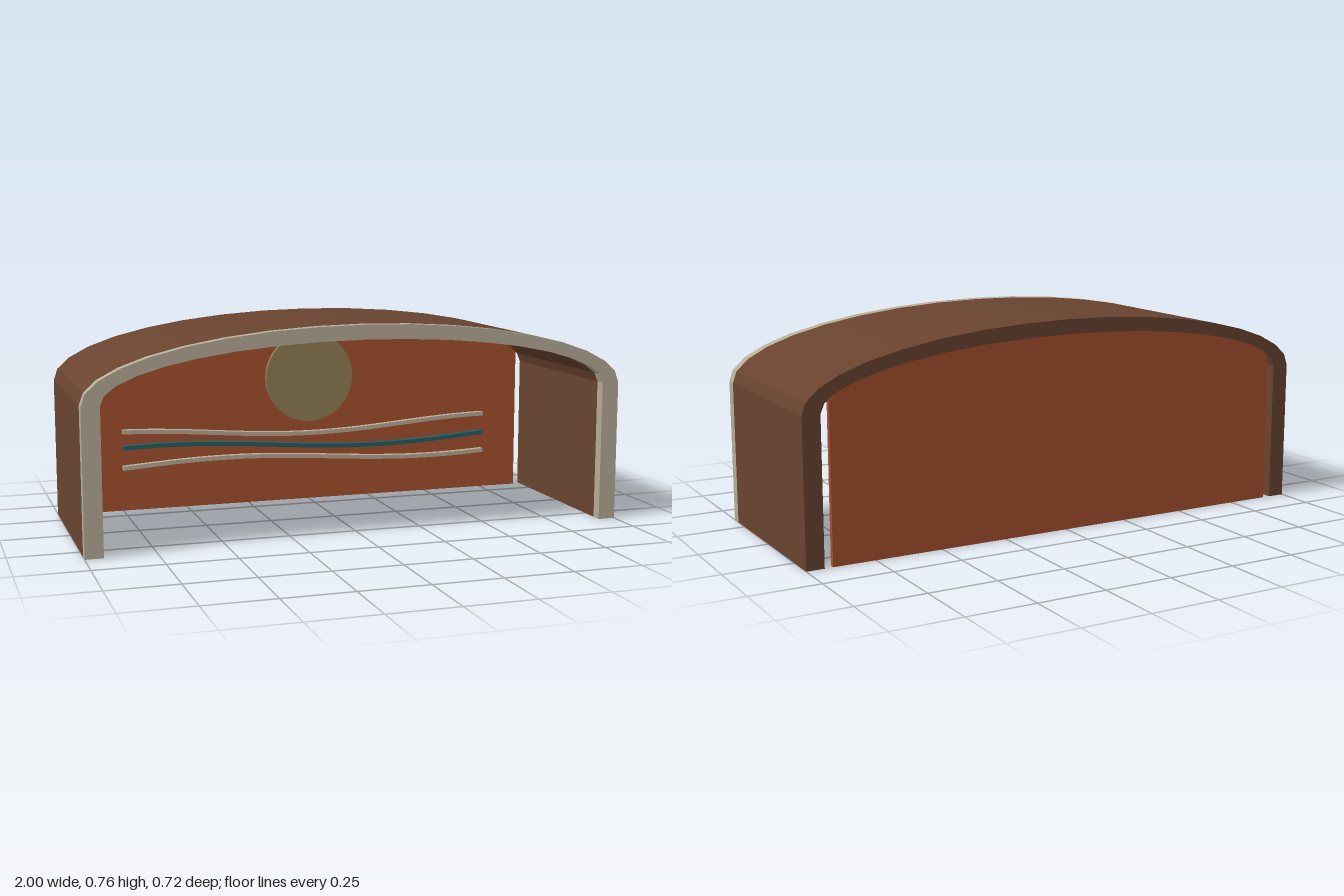
import * as THREE from 'three';

const SPRING = 0.52, SEGMENTS = 18, BACK = -0.358;

const material = (name, color) => {
  const m = new THREE.MeshStandardMaterial({ color });
  m.name = name;
  return m;
};

// Points of a half ellipse above the legs, from +x to -x
function archPoints(rx, ry, from = 0, to = SEGMENTS) {
  const pts = [];
  for (let i = from; i <= to; i++) {
    const a = (i / SEGMENTS) * Math.PI;
    pts.push(new THREE.Vector2(rx * Math.cos(a), SPRING + ry * Math.sin(a)));
  }
  return pts;
}

// Closed outline extruded from z0 to z1
function slab(name, points, z0, z1, mat) {
  const geo = new THREE.ExtrudeGeometry(new THREE.Shape(points), { depth: z1 - z0, bevelEnabled: false });
  geo.translate(0, 0, z0);
  const mesh = new THREE.Mesh(geo, mat);
  mesh.name = name;
  return mesh;
}

// Thin raised strip following y = f(x)
function waveStrip(name, f, mat) {
  const n = 32, half = 0.75, h = 0.008;
  const low = [], high = [];
  for (let i = 0; i <= n; i++) {
    const x = -half + (2 * half * i) / n;
    low.push(new THREE.Vector2(x, f(x) - h));
    high.unshift(new THREE.Vector2(x, f(x) + h));
  }
  return slab(name, [...low, ...high], -0.338, -0.312, mat);
}

export function createModel() {
  const group = new THREE.Group();
  group.name = 'archedStage';

  const brown = material('brown shell', 0x69432f);
  const beige = material('beige trim', 0xb5ac97);
  const rust = material('rust panel', 0xa64f2d);
  const olive = material('olive gold', 0x917c53);
  const teal = material('teal', 0x1f6066);

  // Arched shell with straight legs, and the pale band on its front edge
  const V = (x, y) => new THREE.Vector2(x, y);
  const outline = [
    V(1, 0), ...archPoints(1, 0.245), V(-1, 0),
    V(-0.935, 0), ...archPoints(0.935, 0.192).reverse(), V(0.935, 0),
  ];
  group.add(slab('shell', outline, BACK, 0.318, brown));
  group.add(slab('frontTrim', outline, 0.318, 0.358, beige));

  // Back panel filling the arch, with a narrow gap beside each leg
  const panel = [
    V(0.905, 0), V(0.905, 0.563), ...archPoints(0.935, 0.192, 2, SEGMENTS - 2),
    V(-0.905, 0.563), V(-0.905, 0),
  ];
  group.add(slab('backPanel', panel, BACK + 0.001, -0.338, rust));

  // Round disc on the panel
  const discGeo = new THREE.CylinderGeometry(0.178, 0.178, 0.02, 48);
  discGeo.rotateX(Math.PI / 2);
  const disc = new THREE.Mesh(discGeo, olive);
  disc.name = 'sunDisc';
  disc.position.set(0, 0.495, -0.328);
  group.add(disc);

  // Three wavy strips below the disc
  const wave = (mid, amp, peak, halfPeriod) => (x) =>
    mid + amp * Math.cos((Math.PI * (x - peak)) / halfPeriod);
  group.add(waveStrip('upperWave', wave(0.291, 0.021, 0.78, 0.78), beige));
  group.add(waveStrip('middleWave', wave(0.231, 0.022, -0.58, 0.86), teal));
  group.add(waveStrip('lowerWave', wave(0.17, 0.02, -0.33, 0.83), beige));

  return group;
}
